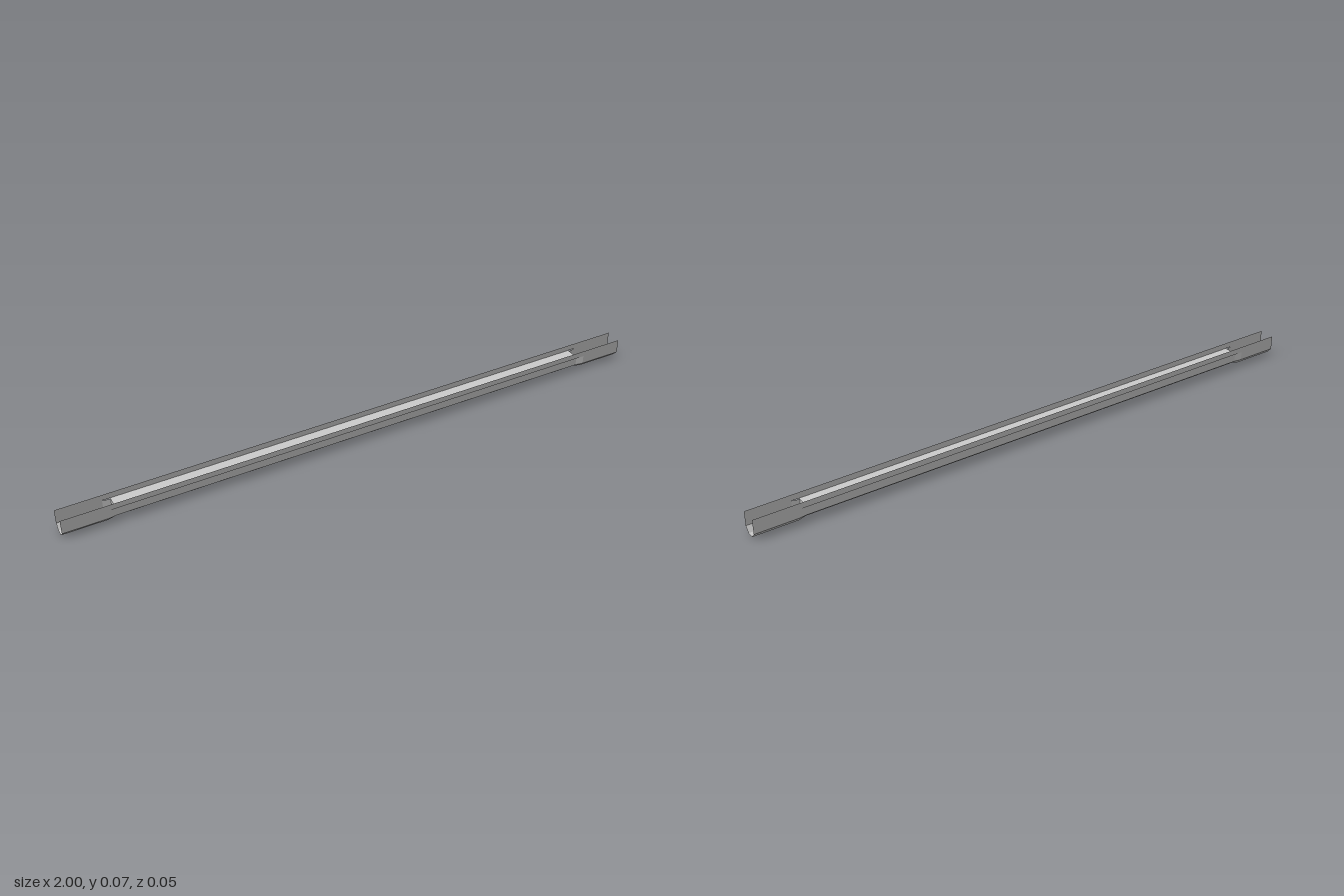
import * as THREE from 'three';

const material = new THREE.MeshStandardMaterial({ color: 0xcccccc, flatShading: true, side: THREE.DoubleSide });

// Half cross-sections as [z, y], from the rim down to the keel
const outer = [[0.027, 0.047], [0.027, 0.018], [0.012, 0.001], [0.009, 0]];
const inner = [[0.021, 0.047], [0.021, 0.016], [0.011, 0.007], [0.008, 0.007]];
const mirror = (half) => [...half, ...half.slice().reverse().map(([z, y]) => [-z, y])];

// Skin between successive sections, each given as { x, points }
function loft(name, sections) {
  const positions = [], index = [];
  const n = sections[0].points.length;
  for (const { x, points } of sections) {
    for (const [z, y] of points) positions.push(x, y, z);
  }
  for (let s = 0; s < sections.length - 1; s++) {
    for (let i = 0; i < n - 1; i++) {
      const a = s * n + i, b = a + n;
      index.push(a, b, a + 1, a + 1, b, b + 1);
    }
  }
  return build(name, positions, index);
}

function build(name, positions, index) {
  const geometry = new THREE.BufferGeometry();
  geometry.setAttribute('position', new THREE.Float32BufferAttribute(positions, 3));
  geometry.setIndex(index);
  geometry.computeVertexNormals();
  const mesh = new THREE.Mesh(geometry, material);
  mesh.name = name;
  return mesh;
}

export function createModel() {
  const group = new THREE.Group();
  group.name = 'channelBeam';
  const o = mirror(outer), n = mirror(inner);

  // Thin side walls along the whole length
  for (const side of [1, -1]) {
    const wall = [[side * 0.027, 0.067], [side * 0.027, 0.047]];
    group.add(loft(side > 0 ? 'frontWall' : 'backWall', [{ x: -1, points: wall }, { x: 1, points: wall }]));
  }

  // Flat deck over the narrow middle
  const deck = [[0.027, 0.047], [0, 0.047], [-0.027, 0.047]];
  group.add(loft('deck', [{ x: -0.83, points: deck }, { x: 0.83, points: deck }]));

  // Narrow trough under the deck
  group.add(loft('middleTrough', [{ x: -0.83, points: n }, { x: 0.83, points: n }]));

  for (const side of [1, -1]) {
    const label = side > 0 ? 'left' : 'right';
    // Open wide socket at the end, tapering into the trough
    group.add(loft(label + 'Socket', [{ x: side, points: o }, { x: side * 0.855, points: o }]));
    group.add(loft(label + 'Taper', [{ x: side * 0.855, points: o }, { x: side * 0.83, points: n }]));

    // Bulkhead closing the end of the trough
    const shape = new THREE.Shape(n.map(([z, y]) => new THREE.Vector2(z, y)));
    const bulkhead = new THREE.Mesh(new THREE.ShapeGeometry(shape), material);
    bulkhead.rotation.y = side * Math.PI / 2;
    bulkhead.position.x = side * 0.83;
    bulkhead.name = label + 'Bulkhead';
    group.add(bulkhead);
  }
  return group;
}
